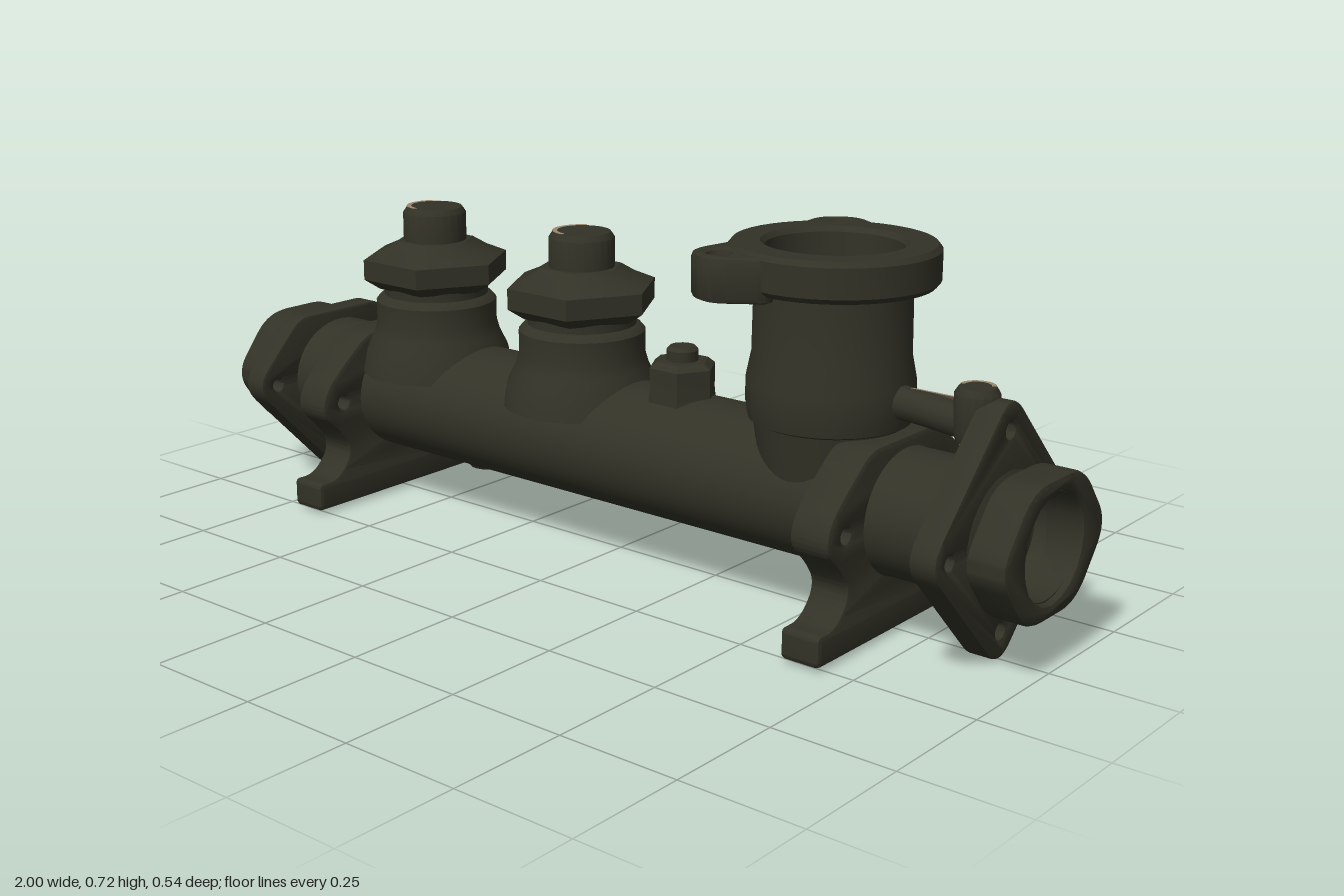
import * as THREE from 'three';
import { toCreasedNormals } from 'three/addons/utils/BufferGeometryUtils.js';

const iron = new THREE.MeshStandardMaterial({ color: 0x323227 });
iron.name = 'dark olive iron';
const bare = new THREE.MeshStandardMaterial({ color: 0x9c876c, side: THREE.DoubleSide });
bare.name = 'worn tan metal';

const AXIS = 0.238; // height of the main bore

function add(parent, name, geo, x = 0, y = 0, z = 0, mat = iron) {
  const mesh = new THREE.Mesh(toCreasedNormals(geo, 0.6), mat);
  mesh.name = name;
  mesh.position.set(x, y, z);
  parent.add(mesh);
  return mesh;
}

const lathe = (pts, seg = 40) =>
  new THREE.LatheGeometry(pts.map(([r, y]) => new THREE.Vector2(r, y)), seg);

// Polygon with rounded corners; each point may carry its own corner length
function roundedShape(pts, r, holes = []) {
  const v = pts.map(([x, y]) => new THREE.Vector2(x, y));
  const shape = new THREE.Shape();
  v.forEach((p, i) => {
    const prev = v[(i + v.length - 1) % v.length], next = v[(i + 1) % v.length];
    const toward = (q) => {
      const d = p.distanceTo(q);
      return p.clone().lerp(q, Math.min(pts[i][2] ?? r, d * 0.49) / d);
    };
    const a = toward(prev), b = toward(next);
    if (i === 0) shape.moveTo(a.x, a.y);
    else shape.lineTo(a.x, a.y);
    shape.quadraticCurveTo(p.x, p.y, b.x, b.y);
  });
  shape.closePath();
  for (const [x, y, hr] of holes) {
    const path = new THREE.Path();
    path.absarc(x, y, hr, 0, Math.PI * 2, true);
    shape.holes.push(path);
  }
  return shape;
}

// Slab centred on its thickness, with softly bevelled edges
function slab(shape, depth, bevel = 0.006) {
  const geo = new THREE.ExtrudeGeometry(shape, {
    depth: depth - 2 * bevel, bevelEnabled: true, bevelSize: bevel,
    bevelThickness: bevel, bevelOffset: -bevel, bevelSegments: 2, curveSegments: 10,
  });
  return geo.translate(0, 0, bevel - depth / 2);
}
const crossSlab = (shape, depth, bevel) => slab(shape, depth, bevel).rotateY(Math.PI / 2);

// Thin worn arc lying on the rim of a cap
const wornArc = (r0, r1, start, sweep) =>
  new THREE.RingGeometry(r0, r1, 20, 1, start, sweep).rotateX(-Math.PI / 2);

export function createModel() {
  const model = new THREE.Group();
  model.name = 'masterCylinder';

  // Main barrel with open bores at both ends
  const half = [[0, 0.88], [0.092, 0.88], [0.1, 0.985], [0.11, 0.985], [0.11, 0.905],
    [0.122, 0.9], [0.122, 0.7], [0.13, 0.62]];
  const profile = [...half.map(([r, y]) => [r, -y]), ...half.slice().reverse()];
  const barrel = lathe(profile, 48).rotateZ(-Math.PI / 2).scale(1, 1, 1.11);
  add(model, 'barrel', barrel, 0, AXIS, 0);
  add(model, 'drainBoss', lathe([[0, 0], [0.04, 0], [0.06, 0.03]], 20), -0.38, 0.105, 0);

  // Hexagonal end collars
  const hex = [[0.195, 0], [0.092, 0.131], [-0.092, 0.131], [-0.195, 0],
    [-0.092, -0.131], [0.092, -0.131]];
  for (const s of [-1, 1]) {
    const collar = crossSlab(roundedShape(hex, 0.055, [[0, 0, 0.104]]), 0.08, 0.01);
    add(model, s > 0 ? 'leftEndCollar' : 'rightEndCollar', collar, s * 0.96, AXIS, 0);
  }

  // Diamond flanges with bolt holes; the one on the far end is cut off at the top
  const sideHoles = [[-0.19, 0.24, 0.014], [0.19, 0.24, 0.014]];
  const lowHole = [0, 0.055, 0.016];
  const diamond = roundedShape(
    [[0, -0.02], [0.258, 0.243], [0, 0.51], [-0.258, 0.243]], 0.06,
    [...sideHoles, lowHole, [0, 0.435, 0.016]]);
  add(model, 'leftFlange', crossSlab(diamond, 0.055), 0.872, 0, 0);
  const cut = roundedShape(
    [[0, -0.02], [0.258, 0.243], [0.12, 0.383, 0.03], [-0.12, 0.383, 0.03], [-0.258, 0.243]],
    0.06, [...sideHoles, lowHole]);
  add(model, 'rightFlange', crossSlab(cut, 0.055), -0.877, 0, 0);

  // Mounting brackets with spread feet and side lugs
  const side = [[0.27, 0.008, 0.012], [0.27, 0.07, 0.012], [0.215, 0.07, 0.04],
    [0.17, 0.125, 0.05], [0.205, 0.178, 0.03], [0.255, 0.22, 0.05], [0.24, 0.28, 0.04],
    [0.165, 0.345, 0.04], [0.115, 0.383, 0.03]];
  const bracket = roundedShape(
    [...side, ...side.slice().reverse().map(([x, y, r]) => [-x, y, r])], 0.02, sideHoles);
  for (const x of [-0.673, 0.645])
    add(model, x > 0 ? 'leftBracket' : 'rightBracket', crossSlab(bracket, 0.085, 0.01), x, 0, 0);

  // Two outlet ports: flared tower, bevelled hex nut and round cap
  for (const x of [-0.53, -0.105]) {
    const port = new THREE.Group();
    port.name = 'outletPort';
    port.position.x = x;
    model.add(port);
    add(port, 'portTower', lathe([[0.165, 0.3], [0.155, 0.35], [0.138, 0.385], [0.131, 0.41],
      [0.131, 0.458], [0.122, 0.468], [0.113, 0.472], [0.113, 0.5]]));
    const nut = lathe([[0, 0.485], [0.125, 0.487], [0.16, 0.51], [0.16, 0.553],
      [0.115, 0.572], [0.085, 0.59], [0, 0.59]], 6).rotateY(Math.PI / 6);
    add(port, 'portNut', nut);
    add(port, 'portCap', lathe([[0.085, 0.575], [0.068, 0.59], [0.068, 0.65], [0.06, 0.662],
      [0, 0.662]], 24));
    add(port, 'wornCapEdge', wornArc(0.05, 0.06, 2.1, 2.6), 0, 0.664, 0, bare);
  }

  // Small bleeder screw
  const bleeder = lathe([[0.075, 0.33], [0.07, 0.375], [0.07, 0.425], [0.055, 0.437],
    [0, 0.437]], 6).rotateY(Math.PI / 6);
  add(model, 'bleederNut', bleeder, 0.16, 0, 0);
  add(model, 'bleederCap', lathe([[0.032, 0.43], [0.032, 0.458], [0.026, 0.465], [0, 0.465]], 20),
    0.16, 0, 0);

  // Reservoir neck with open, stepped bore
  const neck = new THREE.Group();
  neck.name = 'reservoirNeck';
  neck.position.x = 0.515;
  model.add(neck);
  add(neck, 'neckBody', lathe([[0.13, 0.28], [0.145, 0.385], [0.155, 0.39], [0.16, 0.42],
    [0.16, 0.465], [0.15, 0.515], [0.148, 0.645], [0.19, 0.648], [0.198, 0.658], [0.198, 0.715],
    [0.19, 0.725], [0.138, 0.725], [0.13, 0.715], [0.126, 0.57], [0.112, 0.565],
    [0.108, 0.45], [0, 0.45]], 48));
  add(neck, 'boreRib', new THREE.BoxGeometry(0.15, 0.03, 0.04), 0, 0.46, 0);
  const ear = roundedShape([[0.145, -0.1], [0.275, -0.045], [0.275, 0.045], [0.145, 0.1]],
    0.045, [[0.225, 0, 0.022]]);
  for (const s of [-1, 1]) {
    const lug = add(neck, 'neckLug', slab(ear, 0.085, 0.01).rotateX(-Math.PI / 2), 0, 0.676, 0);
    lug.rotation.y = s * 2.135;
  }

  // Stub pipe joining the neck to the flange bolt
  const path = new THREE.CatmullRomCurve3([[0.63, 0.445], [0.71, 0.442], [0.78, 0.435],
    [0.85, 0.43]].map(([x, y]) => new THREE.Vector3(x, y, 0)));
  add(model, 'stubPipe', new THREE.TubeGeometry(path, 12, 0.032, 14));
  const patch = new THREE.CylinderGeometry(0.0335, 0.0335, 0.1, 12, 1, true, Math.PI * 0.55, Math.PI * 0.8)
    .rotateZ(-Math.PI / 2).rotateX(0.5);
  add(model, 'wornPipeFace', patch, 0.735, 0.441, 0, bare);
  const bolt = lathe([[0, 0.4], [0.036, 0.4], [0.042, 0.42], [0.042, 0.49], [0.034, 0.503],
    [0, 0.503]], 16);
  add(model, 'flangeBolt', bolt, 0.828, 0, 0);
  add(model, 'wornBoltEdge', wornArc(0.024, 0.033, 0.4, 3), 0.828, 0.505, 0, bare);

  return model;
}
